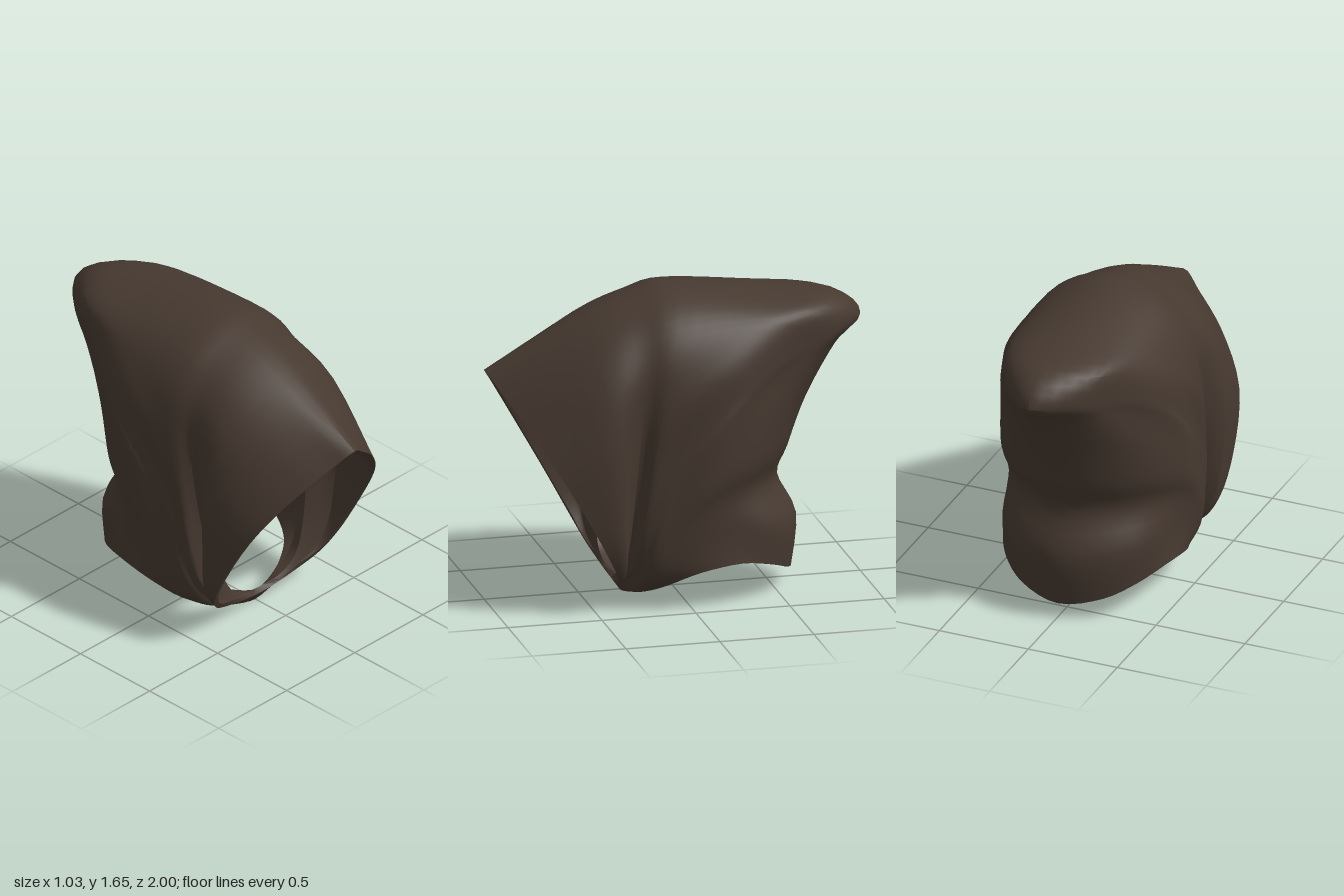
import * as THREE from 'three';
import { toCreasedNormals } from 'three/addons/utils/BufferGeometryUtils.js';

const AROUND = 64, STEPS = 4, THICK = 0.03;

// Fractions from chin to crown at which the half widths are given
const S = [0.03, 0.08, 0.17, 0.35, 0.6, 0.8, 0.93];

// Stations from face opening over the crown to the neck opening:
// crown y and z, y and z of the bend pulling the side line, then half widths
const STATIONS = [
  [1.24, 1.00, 0.68, 0.62, 0.22, 0.38, 0.45, 0.48, 0.44, 0.28, 0.11],
  [1.51, 0.50, 0.78, 0.41, 0.20, 0.36, 0.45, 0.49, 0.49, 0.41, 0.25],
  [1.615, 0.22, 0.84, 0.28, 0.14, 0.25, 0.32, 0.38, 0.42, 0.40, 0.27],
  [1.65, 0.00, 1.05, 0.22, 0.18, 0.33, 0.42, 0.46, 0.47, 0.41, 0.27],
  [1.58, -0.55, 1.35, 0.21, 0.22, 0.38, 0.45, 0.48, 0.48, 0.38, 0.25],
  [1.53, -0.87, 1.40, 0.18, 0.22, 0.39, 0.46, 0.48, 0.48, 0.35, 0.23],
  [1.40, -1.00, 1.30, 0.15, 0.22, 0.39, 0.46, 0.49, 0.48, 0.32, 0.19],
  [1.27, -0.87, 1.20, 0.13, 0.22, 0.38, 0.46, 0.49, 0.50, 0.35, 0.22],
  [1.00, -0.71, 1.02, 0.12, 0.21, 0.37, 0.46, 0.49, 0.51, 0.41, 0.24],
  [0.75, -0.61, 0.85, 0.10, 0.20, 0.36, 0.45, 0.49, 0.51, 0.43, 0.26],
  [0.58, -0.55, 0.70, 0.08, 0.19, 0.34, 0.44, 0.48, 0.48, 0.40, 0.24],
  [0.36, -0.65, 0.54, -0.02, 0.17, 0.31, 0.42, 0.47, 0.46, 0.40, 0.25],
  [0.08, -0.62, 0.43, -0.17, 0.14, 0.27, 0.39, 0.47, 0.46, 0.37, 0.23],
];

// Smooth interpolation of all station values
function station(u) {
  const last = STATIONS.length - 1;
  const i = Math.min(Math.floor(u), last - 1), t = u - i;
  const row = (k) => STATIONS[Math.max(0, Math.min(last, k))];
  return row(i).map((b, n) => {
    const a = row(i - 1)[n], c = row(i + 1)[n], d = row(i + 2)[n];
    return b + 0.5 * t * (c - a + t * (2 * a - 5 * b + 4 * c - d + t * (3 * (b - c) + d - a)));
  });
}

// One closed cross-section, from the crown down the left side and back up the right
function loop(u) {
  const [py, pz, qy, qz, ...w] = station(u);
  const k = u / (STATIONS.length - 1);
  const chin = new THREE.Vector3(0, 0.07 * (1 - k), 0.33 - 0.05 * k);
  const crown = new THREE.Vector3(0, py, pz);
  const sideLine = new THREE.QuadraticBezierCurve3(chin, new THREE.Vector3(0, qy, qz), crown);
  const side = S.map((s, n) => sideLine.getPoint(s).setX(w[n]));
  const mirrored = side.map((p) => new THREE.Vector3(-p.x, p.y, p.z));
  const curve = new THREE.CatmullRomCurve3([crown, ...side.reverse(), chin, ...mirrored], true);
  return Array.from({ length: AROUND }, (_, j) => curve.getPoint(j / AROUND));
}

// Cloth lying a set distance inside the outer loops
function inset(loops) {
  const last = loops.length - 1;
  return loops.map((ring, i) => ring.map((p, j) => {
    const across = ring[(j + 1) % AROUND].clone().sub(ring[(j + AROUND - 1) % AROUND]);
    const along = loops[Math.min(last, i + 1)][j].clone().sub(loops[Math.max(0, i - 1)][j]);
    return p.clone().addScaledVector(across.cross(along).normalize(), -THICK);
  }));
}

// Skin a list of closed loops
function skin(loops, name, material) {
  const position = loops.flat().flatMap((p) => [p.x, p.y, p.z]);
  const index = [];
  for (let i = 0; i < loops.length - 1; i++) {
    for (let j = 0; j < AROUND; j++) {
      const a = i * AROUND + j, b = i * AROUND + (j + 1) % AROUND;
      index.push(a, b, a + AROUND, b, b + AROUND, a + AROUND);
    }
  }
  const geometry = new THREE.BufferGeometry();
  geometry.setAttribute('position', new THREE.Float32BufferAttribute(position, 3));
  geometry.setIndex(index);
  const mesh = new THREE.Mesh(toCreasedNormals(geometry, 0.5), material);
  mesh.name = name;
  return mesh;
}

export function createModel() {
  const cloth = new THREE.MeshStandardMaterial({ color: 0x463930 });
  cloth.name = 'dark brown cloth';

  const rows = (STATIONS.length - 1) * STEPS;
  const outer = Array.from({ length: rows + 1 }, (_, i) => loop(i / STEPS));
  const inner = inset(outer);

  const hood = new THREE.Group();
  hood.name = 'hood';
  hood.add(
    skin(outer, 'outerCloth', cloth),
    skin([...inner].reverse(), 'lining', cloth),
    skin([inner[0], outer[0]], 'faceHem', cloth),
    skin([outer[rows], inner[rows]], 'neckHem', cloth),
  );
  return hood;
}
